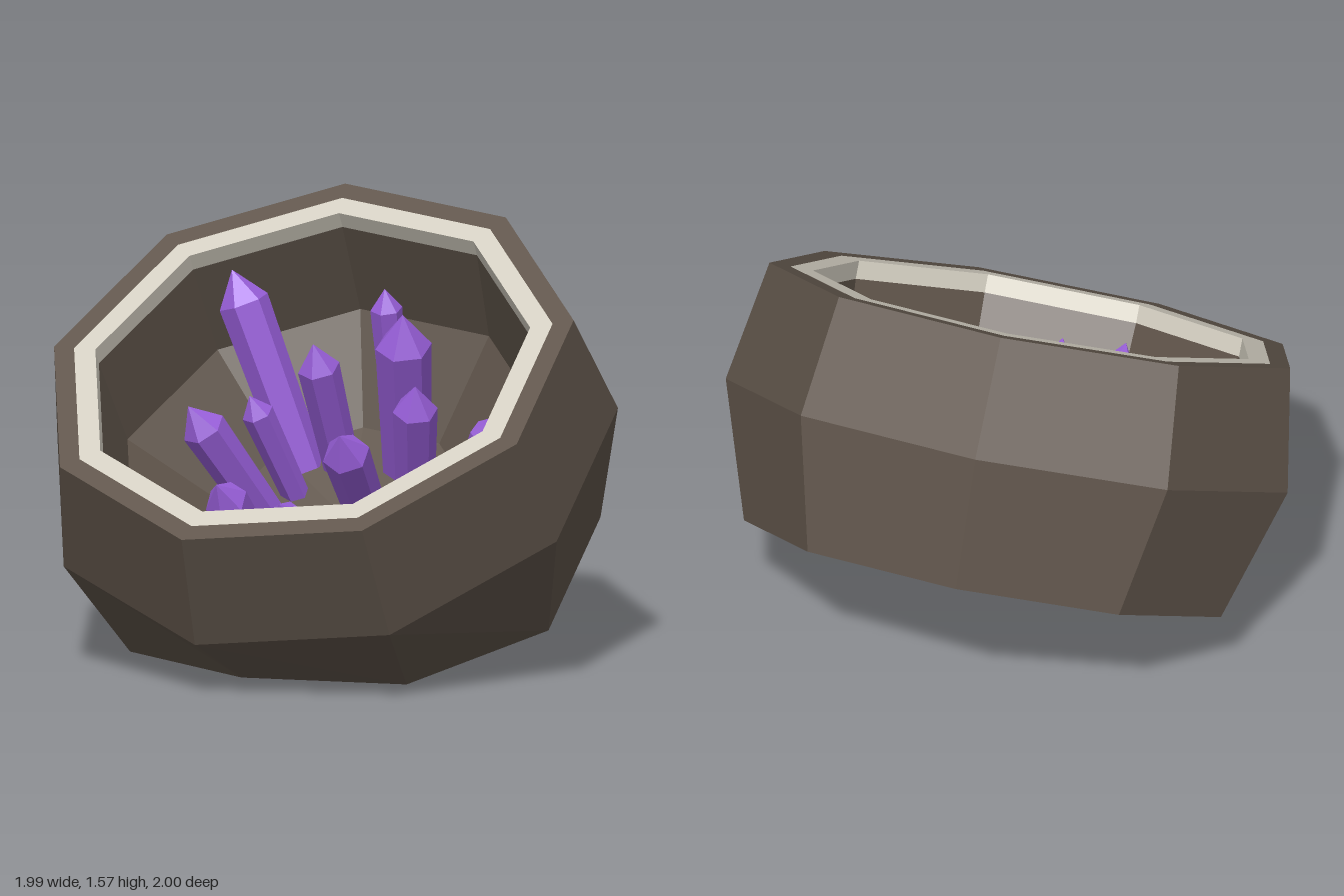
import * as THREE from 'three';

const TILT = 0.555;                                   // the bowl leans towards the front
const CENTRE = new THREE.Vector3(0.03, 1.08, 0.207);  // middle of the rim

function material(name, color, flatShading = true) {
  const m = new THREE.MeshStandardMaterial({ color, flatShading });
  m.name = name;
  return m;
}

// Nine-sided turned shell, tilted into place and flattened where it meets the ground
function shell(name, profile, mat) {
  const points = profile.map(([r, h]) => new THREE.Vector2(r, h));
  const geo = new THREE.LatheGeometry(points, 9, -Math.PI / 2);
  geo.rotateX(TILT).translate(CENTRE.x, CENTRE.y, CENTRE.z);
  const pos = geo.attributes.position;
  for (let i = 0; i < pos.count; i++) pos.setY(i, Math.max(0, pos.getY(i)));
  geo.computeVertexNormals();
  const mesh = new THREE.Mesh(geo, mat);
  mesh.name = name;
  return mesh;
}

// Six-sided crystal with a pointed end, running from base to tip
function crystal(base, tip, radius, mat) {
  const from = new THREE.Vector3(...base);
  const dir = new THREE.Vector3(...tip).sub(from);
  const length = dir.length();
  const point = radius * 1.35;
  const sink = 0.04;                                  // root buried in the floor
  const bodyLength = length - point + sink;
  const body = new THREE.Mesh(
    new THREE.CylinderGeometry(radius, radius * 0.85, bodyLength, 6, 1), mat);
  body.name = 'crystalBody';
  body.position.y = bodyLength / 2 - sink;
  const end = new THREE.Mesh(new THREE.ConeGeometry(radius, point, 6, 1, true), mat);
  end.name = 'crystalTip';
  end.position.y = length - point / 2;
  const group = new THREE.Group();
  group.name = 'crystal';
  group.add(body, end);
  group.position.copy(from);
  group.quaternion.setFromUnitVectors(new THREE.Vector3(0, 1, 0), dir.normalize());
  return group;
}

export function createModel() {
  const model = new THREE.Group();
  model.name = 'geode';
  const stone = material('brown stone', 0x5e5349);
  const rind = material('pale rind', 0xd2cdc0);
  const purple = material('purple crystal', 0x9a60dc);

  // Stone outside with rim, pale band, and hollow inside
  model.add(
    shell('stoneShell', [[0, -0.97], [0.87, -0.91], [1.025, -0.43], [0.95, 0], [0.875, 0]], stone),
    shell('rindBand', [[0.875, 0], [0.795, 0], [0.795, -0.065]], rind),
    shell('cavity', [[0.795, -0.065], [0.76, -0.42], [0.45, -0.7], [0, -0.73]], stone),
  );

  // Crystals: base, tip, radius
  const crystals = [
    [[-0.22, 0.62, -0.38], [-0.46, 1.29, -0.33], 0.09],
    [[0.05, 0.88, -0.57], [0.055, 1.23, -0.48], 0.057],
    [[0.17, 0.63, -0.40], [0.25, 1.21, -0.15], 0.1],
    [[0.24, 0.56, -0.30], [0.32, 0.97, -0.09], 0.08],
    [[-0.07, 0.62, -0.38], [-0.09, 1.08, -0.16], 0.075],
    [[-0.20, 0.54, -0.25], [-0.29, 0.90, -0.06], 0.057],
    [[-0.23, 0.45, -0.10], [-0.42, 0.90, 0.20], 0.08],
    [[0.13, 0.48, -0.13], [0.16, 0.84, 0.23], 0.085],
    [[0.48, 0.50, -0.09], [0.71, 0.93, 0.14], 0.068],
    [[0.36, 0.34, 0.09], [0.56, 0.68, 0.41], 0.078],
    [[-0.12, 0.30, 0.15], [-0.16, 0.71, 0.60], 0.078],
    [[-0.28, 0.27, 0.22], [-0.44, 0.64, 0.66], 0.078],
    [[0.07, 0.28, 0.19], [0.08, 0.66, 0.61], 0.066],
  ];
  const cluster = new THREE.Group();
  cluster.name = 'crystalCluster';
  for (const [base, tip, radius] of crystals) cluster.add(crystal(base, tip, radius, purple));
  model.add(cluster);
  return model;
}
